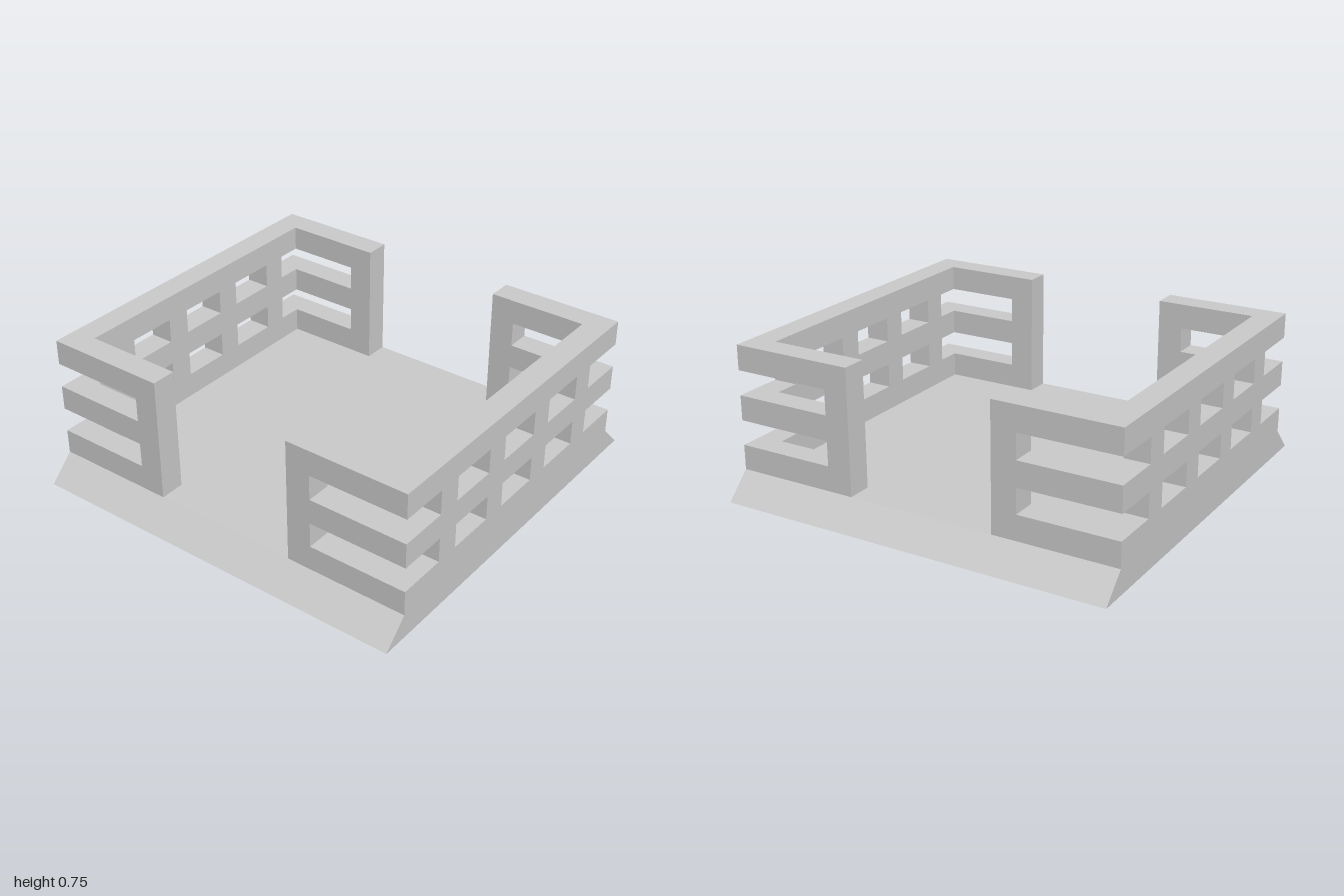
import * as THREE from 'three';

const material = new THREE.MeshStandardMaterial({ color: 0xcccccc, flatShading: true });
const T = 0.125; // wall thickness, also the height of every course

function polygon(points) {
  return new THREE.Shape(points.map(([x, y]) => new THREE.Vector2(x, y)));
}

function addMesh(parent, name, geometry, x = 0, y = 0, z = 0) {
  const mesh = new THREE.Mesh(geometry, material);
  mesh.name = name;
  mesh.position.set(x, y, z);
  parent.add(mesh);
}

// U-shaped wall at the back (-z) with open corners between its rails
function createWall(name) {
  const wall = new THREE.Group();
  wall.name = name;

  const rail = new THREE.ExtrudeGeometry(polygon([
    [-0.875, 0.375], [-0.75, 0.375], [-0.75, 0.875], [0.75, 0.875],
    [0.75, 0.375], [0.875, 0.375], [0.875, 1], [-0.875, 1],
  ]), { depth: T, bevelEnabled: false });
  rail.rotateX(-Math.PI / 2);
  for (const y of [0.125, 0.375, 0.625]) addMesh(wall, 'rail', rail, 0, y, 0);

  // Short posts fill the two gaps between the rails
  const post = new THREE.BoxGeometry(T, T, T);
  for (const y of [0.3125, 0.5625]) {
    for (const side of [-1, 1]) {
      addMesh(wall, 'innerPost', post, side * 0.1875, y, -0.9375);
      addMesh(wall, 'outerPost', post, side * 0.5625, y, -0.9375);
      addMesh(wall, 'endPost', post, side * 0.8125, y, -0.4375);
    }
  }
  return wall;
}

export function createModel() {
  const model = new THREE.Group();
  model.name = 'walledPlatform';

  // Base slab with sloped left and right edges
  const base = new THREE.ExtrudeGeometry(
    polygon([[-1, 0], [1, 0], [0.875, T], [-0.875, T]]),
    { depth: 2, bevelEnabled: false });
  addMesh(model, 'base', base, 0, 0, -1);

  // Matching walls at the back and front
  const frontWall = createWall('frontWall');
  frontWall.rotation.y = Math.PI;
  model.add(createWall('backWall'), frontWall);
  return model;
}
